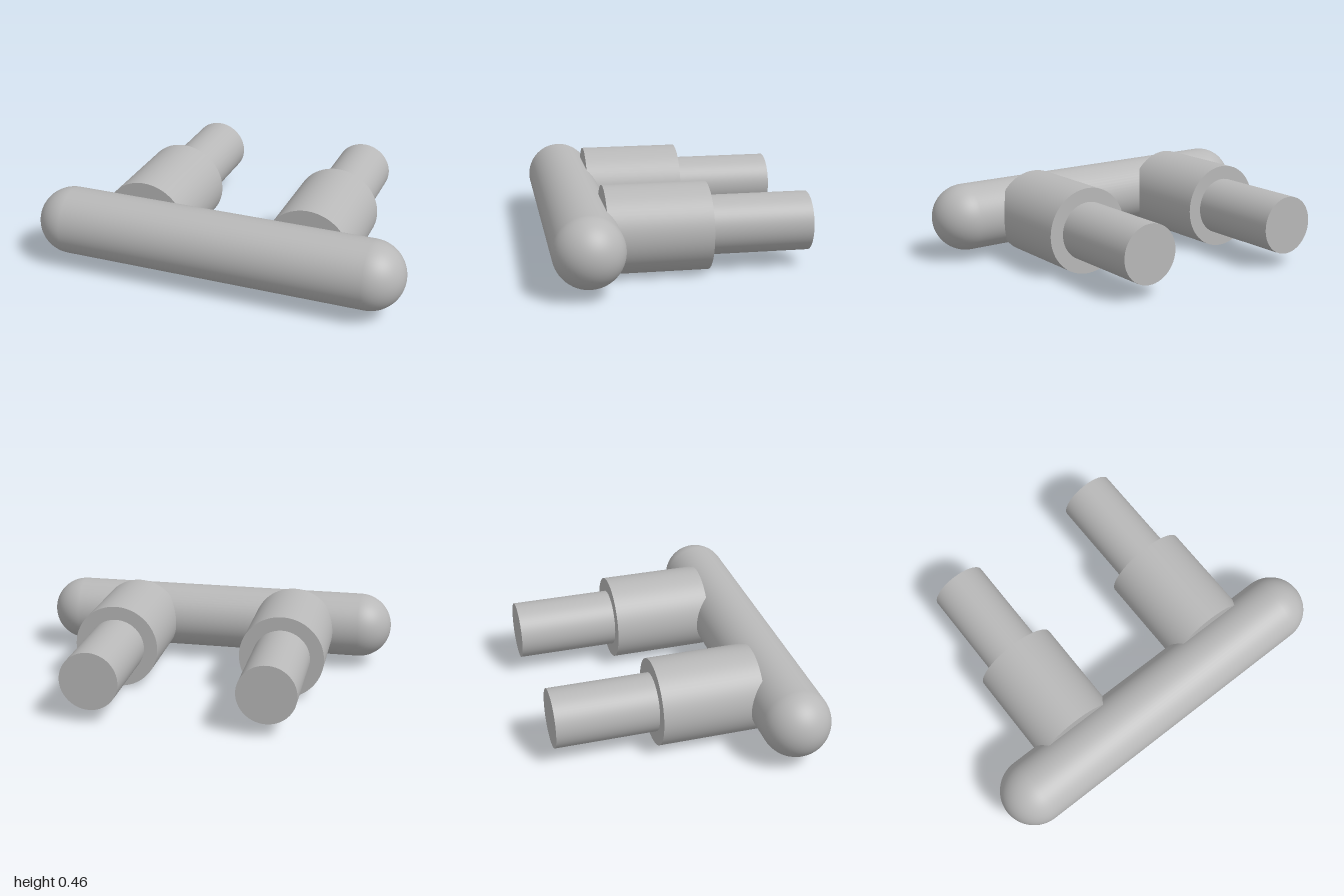
import * as THREE from 'three';

export function createModel() {
  const model = new THREE.Group();
  const grey = new THREE.MeshStandardMaterial({ color: 0xb8b8b8 });
  grey.name = 'plain grey';
  const axisY = 0.228;

  function add(name, geometry, x, z) {
    const mesh = new THREE.Mesh(geometry, grey);
    mesh.name = name;
    mesh.position.set(x, axisY, z);
    model.add(mesh);
  }

  // Cylinder lying along z between two depths
  function rod(radius, back, front) {
    return new THREE.CylinderGeometry(radius, radius, front - back, 64).rotateX(Math.PI / 2);
  }

  // Round-ended grip bar across the front
  add('gripBar', new THREE.CapsuleGeometry(0.18, 1.64, 16, 64).rotateZ(Math.PI / 2), 0, 0.5);

  // Two stepped posts: a thick collar with a thinner pin behind it
  for (const [side, sign] of [['left', 1], ['right', -1]]) {
    const x = sign * 0.453;
    add(side + 'Collar', rod(0.228, -0.145, 0.388), x, (0.388 - 0.145) / 2);
    add(side + 'Pin', rod(0.154, -0.68, -0.14), x, (-0.68 - 0.14) / 2);
  }
  return model;
}
